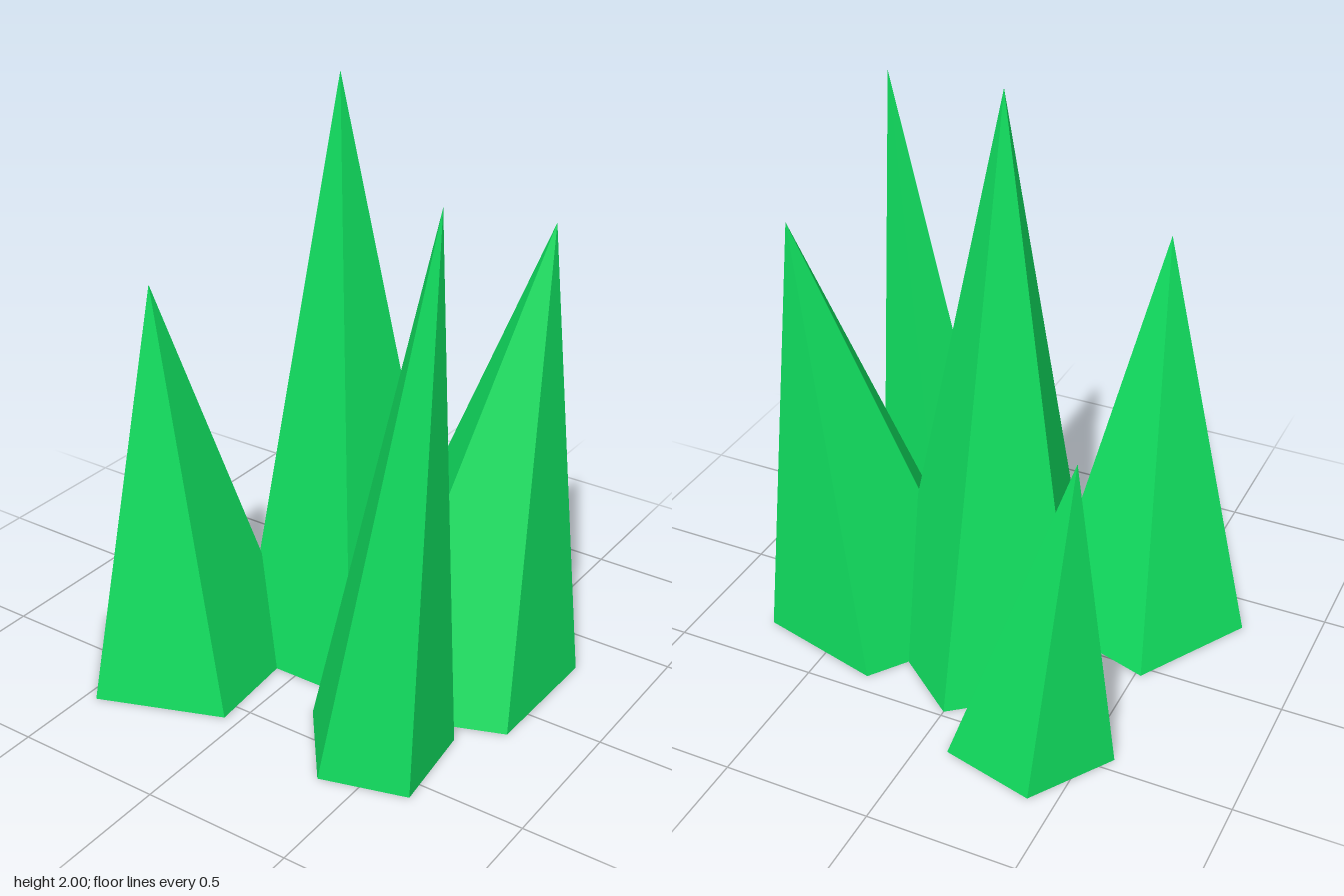
import * as THREE from 'three';

const green = new THREE.MeshStandardMaterial({ color: 0x10dc5e, flatShading: true });

// Leaning five-sided spike: base corners [x, z] counter-clockwise from above, joined to a tip
function spike(name, tip, base) {
  const positions = [];
  const corner = (i) => [base[i % 5][0], 0, base[i % 5][1]];
  for (let i = 0; i < 5; i++) positions.push(...corner(i), ...corner(i + 1), ...tip);
  // flat underside
  for (let i = 1; i < 4; i++) positions.push(...corner(0), ...corner(i + 1), ...corner(i));
  const geometry = new THREE.BufferGeometry();
  geometry.setAttribute('position', new THREE.Float32BufferAttribute(positions, 3));
  geometry.computeVertexNormals();
  const mesh = new THREE.Mesh(geometry, green);
  mesh.name = name;
  return mesh;
}

export function createModel() {
  const group = new THREE.Group();
  group.name = 'crystalCluster';
  group.add(
    spike('centreSpike', [0, 2, -0.012],
      [[0, -0.481], [-0.356, -0.2], [-0.22, 0.251], [0.22, 0.251], [0.356, -0.2]]),
    spike('backRightSpike', [-0.465, 1.125, -0.512],
      [[-0.412, -0.724], [-0.592, -0.452], [-0.388, -0.204], [-0.081, -0.323], [-0.096, -0.644]]),
    spike('frontRightSpike', [-0.374, 1.39, 0.464],
      [[-0.52, -0.04], [-0.748, 0.348], [-0.46, 0.724], [-0.052, 0.568], [-0.088, 0.096]]),
    spike('backLeftSpike', [0.604, 1.565, -0.284],
      [[0.312, -0.432], [0.034, -0.049], [0.299, 0.299], [0.74, 0.132], [0.748, -0.32]]),
    spike('frontLeftSpike', [0.612, 1.815, 0.398],
      [[0.314, 0.134], [0.164, 0.382], [0.372, 0.652], [0.652, 0.57], [0.616, 0.25]])
  );
  return group;
}
